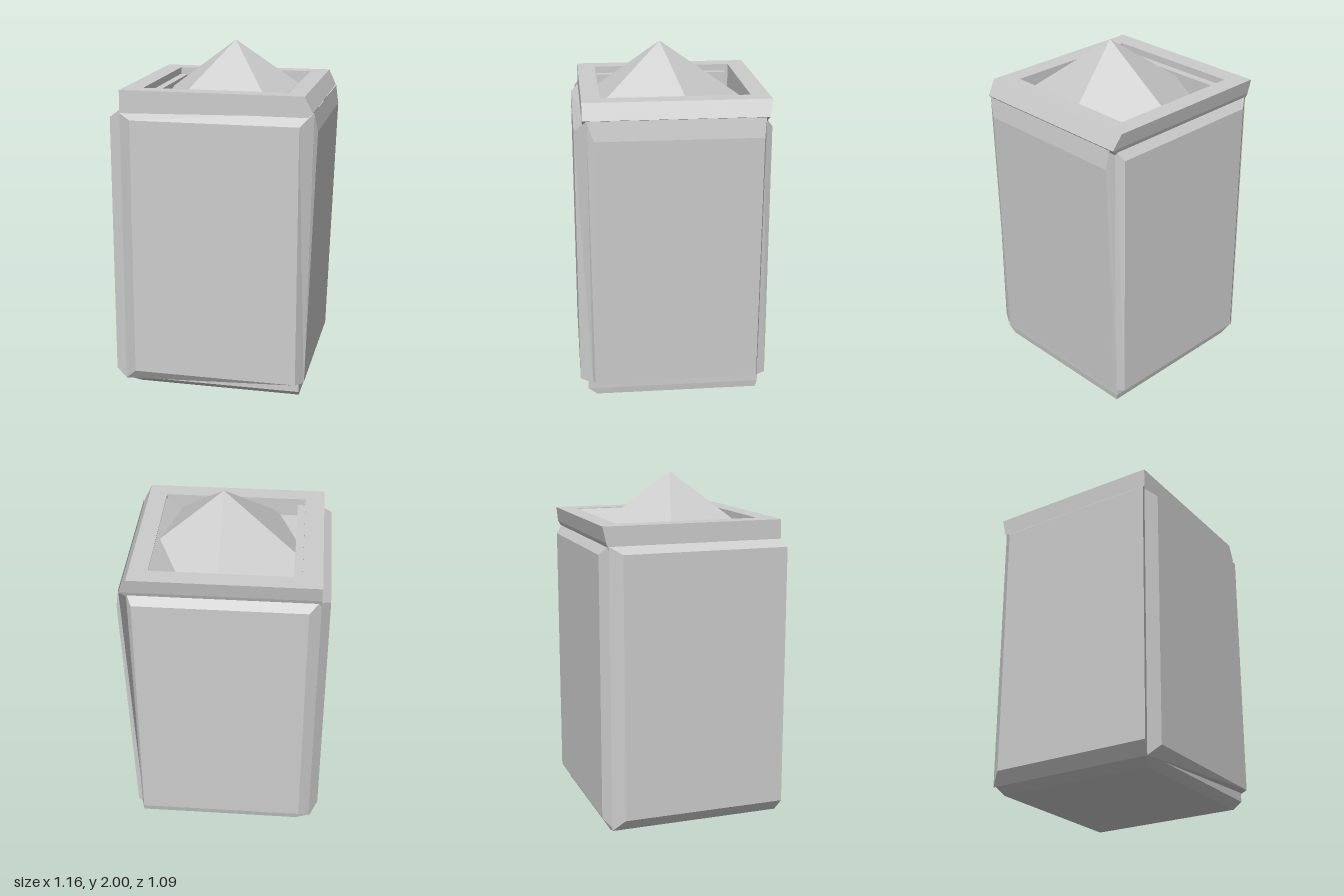
import * as THREE from 'three';

const stone = new THREE.MeshStandardMaterial({ color: 0xcccccc, flatShading: true });
stone.name = 'pale grey';

// Skin a stack of four-cornered rings, each anticlockwise seen from the end cap.
function loft(name, rings, closeStart = false) {
  const pos = [];
  const quad = (a, b, c, d) => pos.push(...a, ...b, ...c, ...a, ...c, ...d);
  for (let r = 0; r < rings.length - 1; r++) {
    const a = rings[r], b = rings[r + 1];
    for (let i = 0; i < 4; i++) {
      const j = (i + 1) % 4;
      quad(a[i], a[j], b[j], b[i]);
    }
  }
  quad(...rings[rings.length - 1]);
  if (closeStart) quad(...[...rings[0]].reverse());
  const geometry = new THREE.BufferGeometry();
  geometry.setAttribute('position', new THREE.Float32BufferAttribute(pos, 3));
  geometry.computeVertexNormals();
  const mesh = new THREE.Mesh(geometry, stone);
  mesh.name = name;
  return mesh;
}

// Horizontal rectangle; the front edge may sit at another height.
const level = (y, x0, x1, z0, z1, yFront = y) =>
  [[x0, yFront, z1], [x1, yFront, z1], [x1, y, z0], [x0, y, z0]];

export function createModel() {
  const model = new THREE.Group();

  // Hollow body: plinth, walls, flared rim, opening and floor
  model.add(loft('body', [
    level(0, -0.45, 0.50, -0.49, 0.45),
    level(0.04, -0.53, 0.505, -0.50, 0.50),
    level(1.62, -0.53, 0.505, -0.50, 0.50),
    level(1.67, -0.53, 0.555, -0.52, 0.50),
    level(1.76, -0.53, 0.51, -0.54, 0.50),
    level(1.76, -0.42, 0.405, -0.435, 0.395),
    level(1.60, -0.42, 0.405, -0.435, 0.395, 1.65),
  ], true));

  // Bevelled slabs on the four sides, slightly irregular
  model.add(loft('frontPanel', [
    [[-0.53, 0.03, 0.50], [0.53, 0.09, 0.475], [0.56, 1.67, 0.475], [-0.53, 1.63, 0.50]],
    [[-0.46, 0.10, 0.545], [0.49, 0.10, 0.545], [0.49, 1.60, 0.545], [-0.46, 1.60, 0.545]],
  ], true));
  model.add(loft('backPanel', [
    [[0.51, 0.08, -0.49], [-0.53, 0.04, -0.50], [-0.53, 1.66, -0.50], [0.52, 1.66, -0.50]],
    [[0.49, 0.09, -0.545], [-0.465, 0.09, -0.545], [-0.465, 1.60, -0.545], [0.49, 1.60, -0.545]],
  ], true));
  model.add(loft('leftPanel', [
    [[0.50, 0.08, 0.475], [0.50, 0.08, -0.50], [0.56, 1.67, -0.50], [0.56, 1.67, 0.475]],
    [[0.53, 0.09, 0.46], [0.53, 0.09, -0.49], [0.577, 1.56, -0.49], [0.577, 1.56, 0.44]],
  ], true));
  model.add(loft('rightPanel', [
    [[-0.53, 0.03, -0.505], [-0.53, 0.03, 0.50], [-0.53, 1.65, 0.50], [-0.53, 1.65, -0.505]],
    [[-0.58, 0.10, -0.44], [-0.58, 0.10, 0.52], [-0.58, 1.61, 0.52], [-0.58, 1.61, -0.44]],
  ], true));

  // Ledges inside the opening
  model.add(loft('slopedLedge', [
    level(1.58, 0.225, 0.41, -0.435, 0.36),
    [[0.225, 1.615, 0.36], [0.405, 1.755, 0.36], [0.405, 1.755, -0.435], [0.225, 1.615, -0.435]],
  ]));
  model.add(loft('narrowLedge', [
    level(1.58, -0.42, -0.375, -0.41, 0.395),
    level(1.72, -0.42, -0.375, -0.41, 0.395),
  ]));

  // Five-sided pointed heap
  const heap = new THREE.Mesh(new THREE.ConeGeometry(0.55, 0.385, 5), stone);
  heap.name = 'pointedHeap';
  heap.rotation.y = Math.PI;
  heap.position.set(0.035, 2 - 0.385 / 2, 0.035);
  model.add(heap);

  return model;
}
